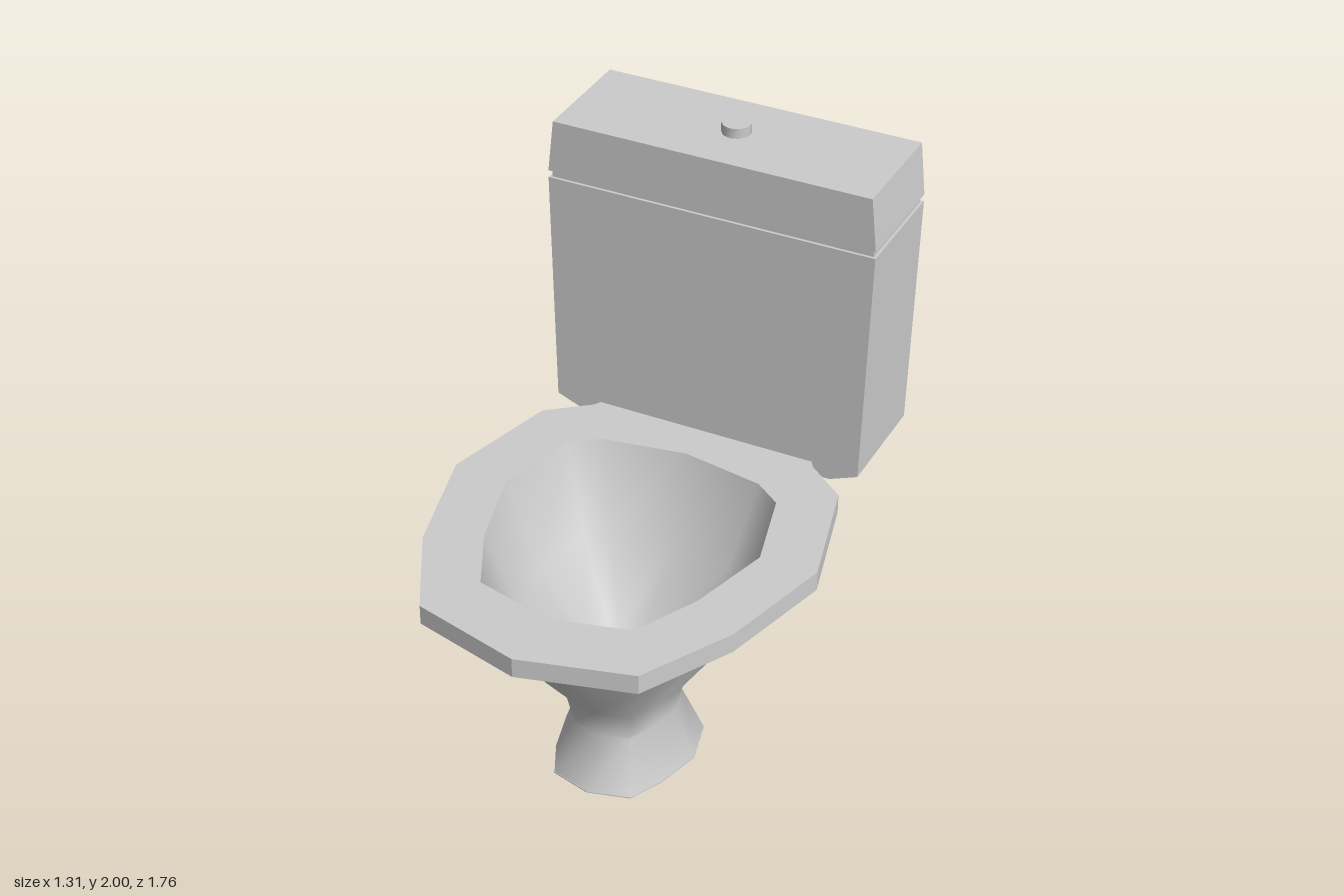
import * as THREE from 'three';
import { toCreasedNormals } from 'three/addons/utils/BufferGeometryUtils.js';

// Half outlines as [x, z], running from the front tip to the back.
const RIM = [[0, 0.66], [0.27, 0.59], [0.38, 0.37], [0.46, 0.08], [0.385, -0.21], [0.29, -0.28], [0, -0.33]];
const SEAT = [[0, 0.88], [0.38, 0.78], [0.55, 0.47], [0.655, 0.07], [0.55, -0.34], [0.41, -0.45], [0.38, -0.5]];

// Mirror a half outline into a closed loop.
function mirrorLoop(half) {
  const other = half.filter(p => p[0] > 0).reverse().map(([x, z]) => [-x, z]);
  return [...half, ...other];
}

// The rim outline fitted to a half width, front and back at height y.
function ring([y, halfWidth, front, back]) {
  return mirrorLoop(RIM).map(([x, z]) => [
    (x / 0.46) * halfWidth, y, back + ((z + 0.33) / 0.99) * (front - back)]);
}

// Skin a list of equal rings.
function loft(sections, crease) {
  const rings = sections.map(ring);
  const n = rings[0].length;
  const index = [];
  for (let i = 0; i < rings.length - 1; i++) {
    for (let j = 0; j < n; j++) {
      const a = i * n + j, b = i * n + (j + 1) % n;
      index.push(a, b, b + n, a, b + n, a + n);
    }
  }
  const geo = new THREE.BufferGeometry();
  geo.setAttribute('position', new THREE.Float32BufferAttribute(rings.flat(2), 3));
  geo.setIndex(index);
  return toCreasedNormals(geo, crease);
}

// A flat horizontal plate from an outline, with its top at y.
function plate(outline, hole, top, depth) {
  const toPoints = loop => loop.map(([x, z]) => new THREE.Vector2(x, z));
  const shape = new THREE.Shape(toPoints(outline));
  if (hole) shape.holes.push(new THREE.Path(toPoints(hole)));
  const geo = new THREE.ExtrudeGeometry(shape, { depth, bevelEnabled: false });
  return geo.rotateX(Math.PI / 2).translate(0, top, 0);
}

// A block with a symmetric front profile of [x, y], bottom to top.
function block(profile, back, front) {
  const left = [...profile].reverse().map(([x, y]) => [-x, y]);
  const shape = new THREE.Shape([...profile, ...left].map(([x, y]) => new THREE.Vector2(x, y)));
  const geo = new THREE.ExtrudeGeometry(shape, { depth: front - back, bevelEnabled: false });
  return geo.translate(0, 0, back);
}

export function createModel() {
  const group = new THREE.Group();
  const ceramic = new THREE.MeshStandardMaterial({ color: 0xcccccc });
  ceramic.name = 'ceramic';
  const waterBlue = new THREE.MeshStandardMaterial({ color: 0x7cb5c8 });
  waterBlue.name = 'waterBlue';

  const add = (name, geometry, material = ceramic) => {
    const mesh = new THREE.Mesh(geometry, material);
    mesh.name = name;
    group.add(mesh);
  };

  // Pedestal and outer bowl: [y, half width, front z, back z]
  add('bowlOutside', loft([
    [0, 0.245, 0.41, -0.135],
    [0.19, 0.175, 0.325, -0.06],
    [0.3, 0.2, 0.35, -0.085],
    [0.58, 0.39, 0.57, -0.28],
    [0.86, 0.49, 0.69, -0.36],
  ], 1.0));
  const footOutline = ring([0, 0.245, 0.41, -0.135]).map(([x, , z]) => [x, z]);
  add('footBase', plate(footOutline, null, 0.004, 0.004));

  // Inner bowl, skinned downwards so that it faces inwards
  add('bowlInside', loft([
    [0.92, 0.46, 0.66, -0.33],
    [0.6, 0.35, 0.52, -0.24],
    [0.37, 0.14, 0.29, -0.03],
    [0.32, 0.112, 0.257, 0.003],
  ], 1.0));

  // Water
  const waterOutline = ring([0, 0.115, 0.26, 0]).map(([x, , z]) => [x, z]);
  add('water', plate(waterOutline, null, 0.33, 0.008), waterBlue);

  // Seat rim, tucked under the tank at the back
  add('seat', plate(mirrorLoop(SEAT), mirrorLoop(RIM), 0.92, 0.07));

  // Tank with chamfered lower sides, recessed joint and tapered lid
  add('tank', block([[0.46, 0.87], [0.56, 0.91], [0.58, 1.755]], -0.88, -0.475));
  add('tankJoint', block([[0.57, 1.75], [0.57, 1.785]], -0.87, -0.485));
  add('tankLid', block([[0.58, 1.78], [0.56, 1.965]], -0.88, -0.475));

  // Flush button
  const button = new THREE.CylinderGeometry(0.05, 0.05, 0.04, 10);
  add('flushButton', toCreasedNormals(button, 0.8).translate(0, 1.98, -0.68));

  return group;
}
